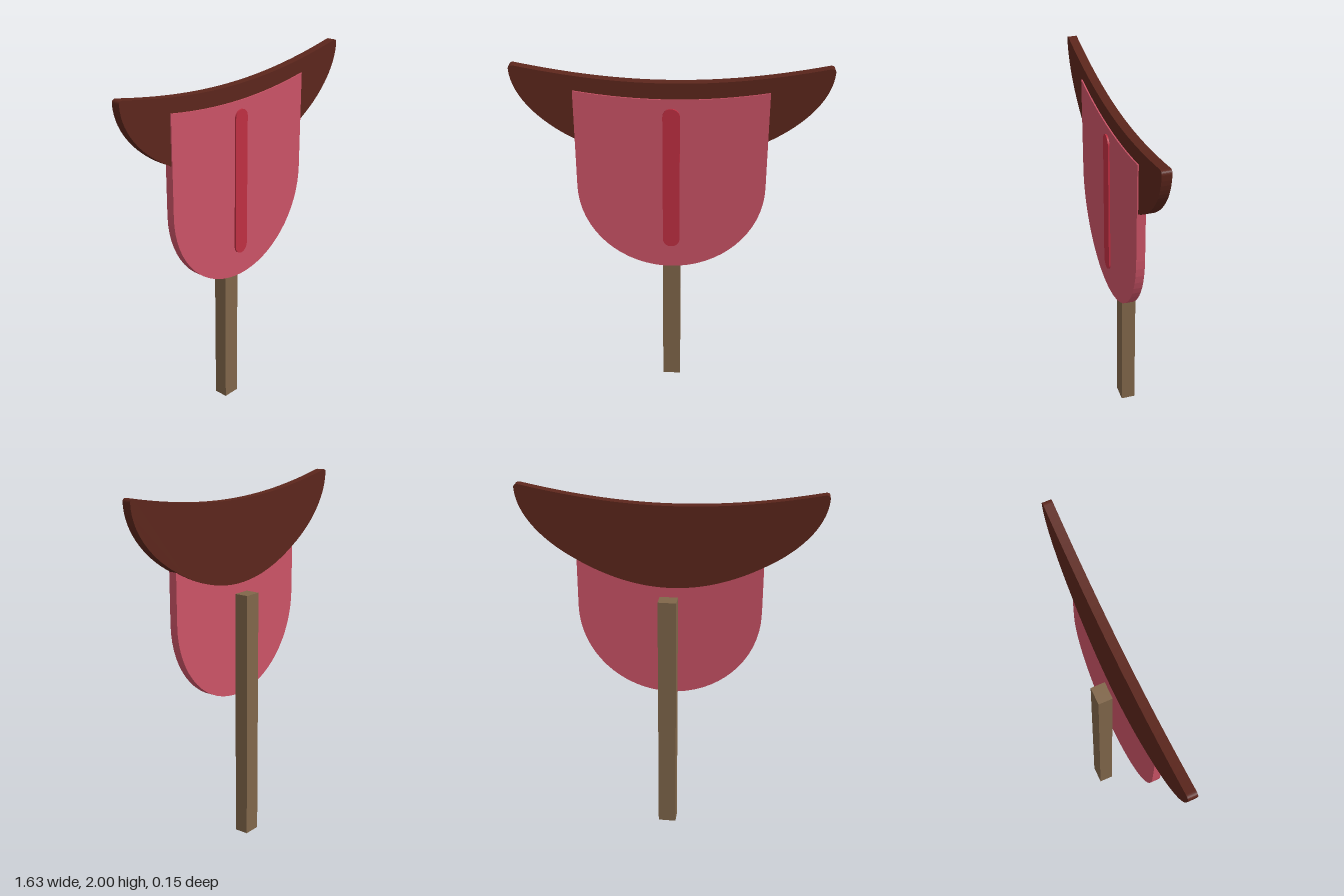
import * as THREE from 'three';

// Extrude a flat outline between two z planes
function plate(name, shape, z0, z1, color) {
  const geometry = new THREE.ExtrudeGeometry(shape, {
    depth: z1 - z0, bevelEnabled: false, curveSegments: 16,
  });
  geometry.translate(0, 0, z0);
  const mesh = new THREE.Mesh(geometry, new THREE.MeshStandardMaterial({ color }));
  mesh.name = name;
  return mesh;
}

// Crescent with softly rounded tips
function mouthShape() {
  const s = new THREE.Shape();
  s.moveTo(0, 1.46);
  s.bezierCurveTo(0.17, 1.46, 0.34, 1.51, 0.5, 1.6);
  s.bezierCurveTo(0.67, 1.69, 0.81, 1.83, 0.815, 1.98);
  s.quadraticCurveTo(0.815, 2.005, 0.785, 1.998);
  s.bezierCurveTo(0.5, 1.94, 0.25, 1.913, 0, 1.913);
  s.bezierCurveTo(-0.25, 1.913, -0.5, 1.94, -0.785, 1.998);
  s.quadraticCurveTo(-0.815, 2.005, -0.815, 1.98);
  s.bezierCurveTo(-0.81, 1.83, -0.67, 1.69, -0.5, 1.6);
  s.bezierCurveTo(-0.34, 1.51, -0.17, 1.46, 0, 1.46);
  return s;
}

// Straight sides, round bottom, sagging top edge
function tongueShape() {
  const s = new THREE.Shape();
  s.moveTo(0.5, 1.87);
  s.quadraticCurveTo(0, 1.785, -0.5, 1.87);
  s.lineTo(-0.5, 1.325);
  s.absarc(0, 1.325, 0.5, Math.PI, Math.PI * 2, false);
  s.lineTo(0.5, 1.87);
  return s;
}

// Upright capsule
function stripeShape() {
  const r = 0.045;
  const s = new THREE.Shape();
  s.absarc(0, 1.735, r, 0, Math.PI, false);
  s.absarc(0, 1.005, r, Math.PI, Math.PI * 2, false);
  s.closePath();
  return s;
}

export function createModel() {
  const model = new THREE.Group();
  model.name = 'tongueOnStick';

  model.add(plate('mouth', mouthShape(), 0.012, 0.061, 0x5c261c));
  model.add(plate('tongue', tongueShape(), 0.022, 0.068, 0xcb5366));
  model.add(plate('tongueStripe', stripeShape(), 0.03, 0.077, 0xbf2f42));

  // Square handle behind the plates
  const stick = new THREE.Mesh(
    new THREE.BoxGeometry(0.1, 1.41, 0.08),
    new THREE.MeshStandardMaterial({ color: 0x80664a }),
  );
  stick.name = 'stick';
  stick.position.set(0, 0.705, -0.037);
  model.add(stick);

  return model;
}
